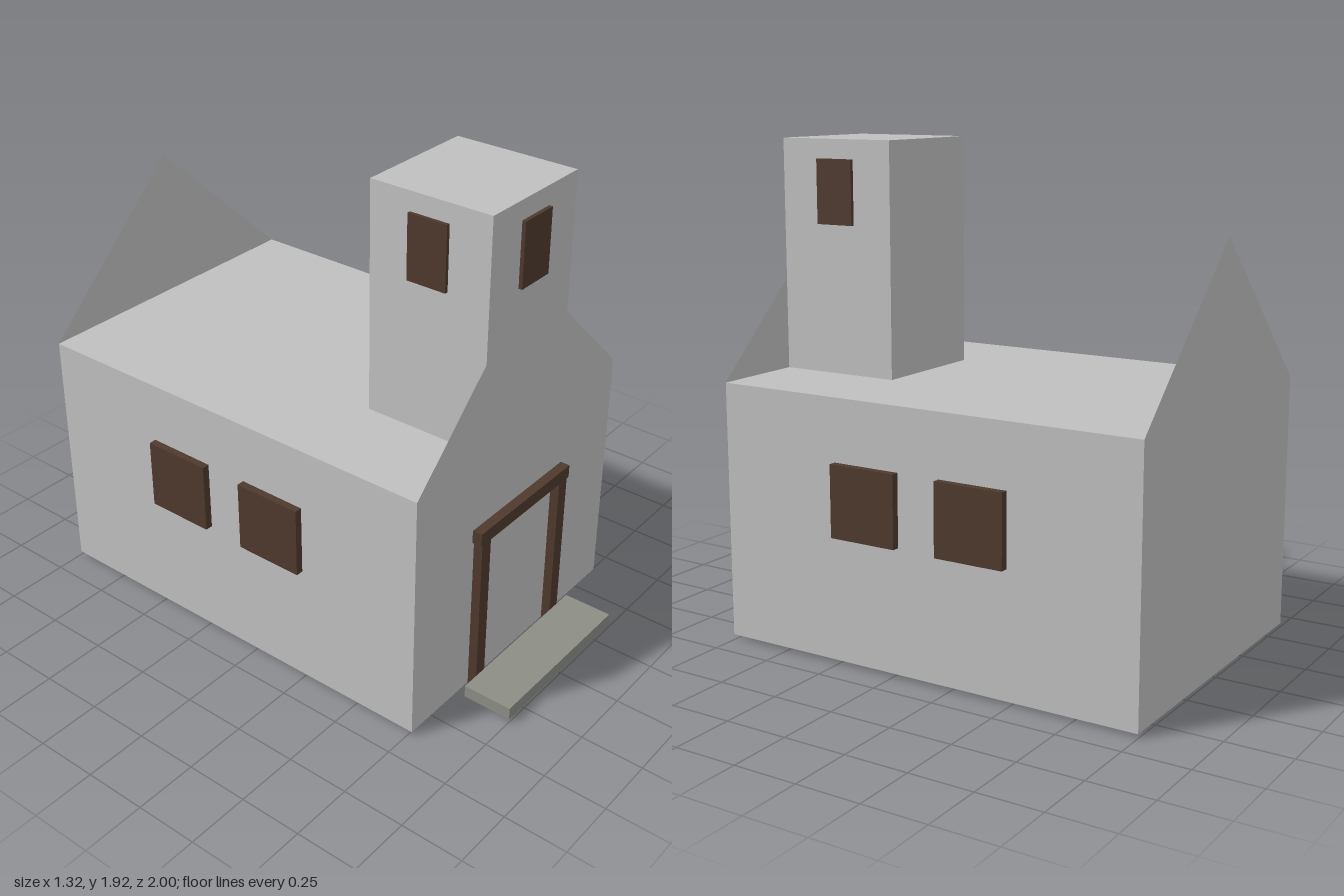
import * as THREE from 'three';

export function createModel() {
  const model = new THREE.Group();
  model.name = 'chapel';

  const material = (name, color, side = THREE.FrontSide) => {
    const m = new THREE.MeshStandardMaterial({ color, side });
    m.name = name;
    return m;
  };
  const plaster = material('grey plaster', 0xbfbfbf, THREE.DoubleSide);
  const wood = material('dark wood', 0x4e392d);
  const stone = material('step stone', 0x8c8d85);

  // Box given by its minimum and maximum corners
  const box = (name, mat, [x0, y0, z0], [x1, y1, z1]) => {
    const mesh = new THREE.Mesh(new THREE.BoxGeometry(x1 - x0, y1 - y0, z1 - z0), mat);
    mesh.position.set((x0 + x1) / 2, (y0 + y1) / 2, (z0 + z1) / 2);
    mesh.name = name;
    model.add(mesh);
  };

  // Thin gable wall standing on the flat roof
  const gable = (name, points, z) => {
    const shape = new THREE.Shape(points.map(([x, y]) => new THREE.Vector2(x, y)));
    const mesh = new THREE.Mesh(new THREE.ShapeGeometry(shape), plaster);
    mesh.position.z = z;
    mesh.name = name;
    model.add(mesh);
  };

  const W = 0.63, EAVE = 1.02, FRONT = 0.763, T = 0.253;

  // Main hall and bell tower
  box('hall', plaster, [-W, 0.015, -1], [W, EAVE, FRONT]);
  box('tower', plaster, [-T, EAVE, 0.26], [T, 1.925, FRONT]);

  // Full gable at the back, the front one is split by the tower
  gable('backGable', [[-W, EAVE], [W, EAVE], [0, 1.617]], -1);
  gable('frontGableLeft', [[T, EAVE], [W, EAVE], [T, 1.38]], FRONT);
  gable('frontGableRight', [[-W, EAVE], [-T, EAVE], [-T, 1.38]], FRONT);

  // Shutters on the hall and tower sides, and door posts
  for (const [side, s] of [['left', 1], ['right', -1]]) {
    const sided = (name, x0, x1, y0, y1, z0, z1) =>
      box(side + name, wood,
        [Math.min(s * x0, s * x1), y0, z0], [Math.max(s * x0, s * x1), y1, z1]);
    sided('FrontWindow', W, 0.66, 0.498, 0.777, -0.03, 0.25);
    sided('BackWindow', W, 0.66, 0.498, 0.777, -0.485, -0.205);
    sided('TowerWindow', T, 0.267, 1.6, 1.85, 0.43, 0.593);
    sided('DoorPost', 0.227, 0.28, 0, 0.667, FRONT, 0.8);
  }

  // Front tower window, lintel and step
  box('frontTowerWindow', wood, [-0.081, 1.6, FRONT], [0.081, 1.85, 0.778]);
  box('doorLintel', wood, [-0.29, 0.667, FRONT], [0.29, 0.72, 0.802]);
  box('doorStep', stone, [-0.352, 0.015, 0.8], [0.352, 0.065, 1]);

  return model;
}
